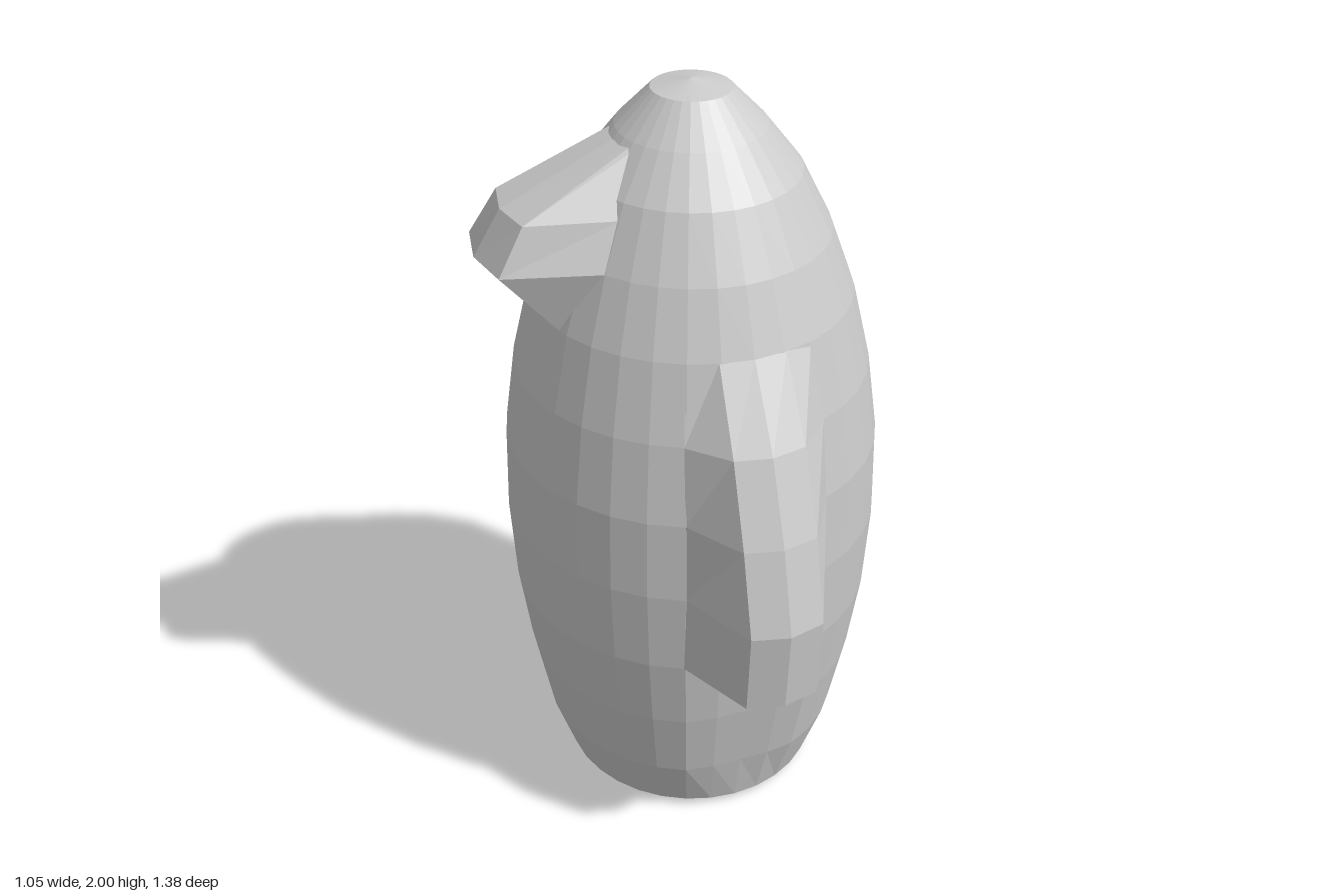
import * as THREE from 'three';

const material = new THREE.MeshStandardMaterial({ color: 0xcccccc, flatShading: true });

// Loft stacked sections, bottom to top, pointing along +z.
// Section: [y, rootHalfWidth, rootOut, tipHalfWidth, cornerOut, centreOut]
function loft(sections) {
  const positions = [], index = [], n = 5;
  for (const [y, rootW, rootZ, tipW, cornerZ, centreZ] of sections) {
    positions.push(-rootW, y, rootZ, -tipW, y, cornerZ, 0, y, centreZ, tipW, y, cornerZ, rootW, y, rootZ);
  }
  for (let s = 0; s < sections.length - 1; s++) {
    for (let i = 0; i < n; i++) {
      const a = s * n + i, b = s * n + (i + 1) % n;
      index.push(a, b, b + n, a, b + n, a + n);
    }
  }
  const top = (sections.length - 1) * n;
  for (let i = 1; i < n - 1; i++) {
    index.push(0, i + 1, i, top, top + i, top + i + 1);
  }
  const geometry = new THREE.BufferGeometry();
  geometry.setAttribute('position', new THREE.Float32BufferAttribute(positions, 3));
  geometry.setIndex(index);
  geometry.computeVertexNormals();
  return geometry;
}

// Egg-shaped body, slightly deeper than wide, flattened under the wings
function bodyGeometry() {
  const profile = [
    [0, 0], [0.29, 0], [0.35, 0.02], [0.405, 0.18], [0.447, 0.39], [0.477, 0.6],
    [0.491, 0.83], [0.486, 1.05], [0.457, 1.26], [0.41, 1.46], [0.35, 1.625],
    [0.273, 1.78], [0.187, 1.89], [0.1, 1.98], [0, 2],
  ];
  const geometry = new THREE.LatheGeometry(profile.map(([r, y]) => new THREE.Vector2(r, y)), 32);
  const p = geometry.attributes.position;
  for (let i = 0; i < p.count; i++) {
    const y = p.getY(i), r = Math.hypot(p.getX(i), p.getZ(i));
    let z = p.getZ(i) * 1.03;
    const limit = r * 1.03 * 0.95;
    if (y > 0.1 && y < 0.9) z = THREE.MathUtils.clamp(z, -limit, limit);
    p.setZ(i, z);
  }
  geometry.computeVertexNormals();
  return geometry;
}

export function createModel() {
  const group = new THREE.Group();
  const add = (name, geometry, turn = 0) => {
    const mesh = new THREE.Mesh(geometry, material);
    mesh.name = name;
    mesh.position.x = 0.03;
    mesh.rotation.y = turn;
    group.add(mesh);
  };

  add('body', bodyGeometry());

  // Folded wings on opposite sides
  const wing = loft([
    [0.6, 0.187, 0.45, 0.095, 0.65, 0.672],
    [0.83, 0.187, 0.465, 0.095, 0.668, 0.692],
    [1.05, 0.187, 0.46, 0.095, 0.61, 0.632],
    [1.26, 0.18, 0.435, 0.092, 0.528, 0.548],
    [1.46, 0.16, 0.385, 0.085, 0.413, 0.424],
  ]);
  add('frontWing', wing);
  add('backWing', wing, Math.PI);

  // Broad beak pointing sideways
  add('beak', loft([
    [1.46, 0.23, 0.335, 0.13, 0.388, 0.405],
    [1.625, 0.2, 0.287, 0.135, 0.53, 0.555],
    [1.74, 0.165, 0.24, 0.115, 0.462, 0.485],
    [1.88, 0.08, 0.16, 0.07, 0.178, 0.186],
  ]), -Math.PI / 2);

  return group;
}
